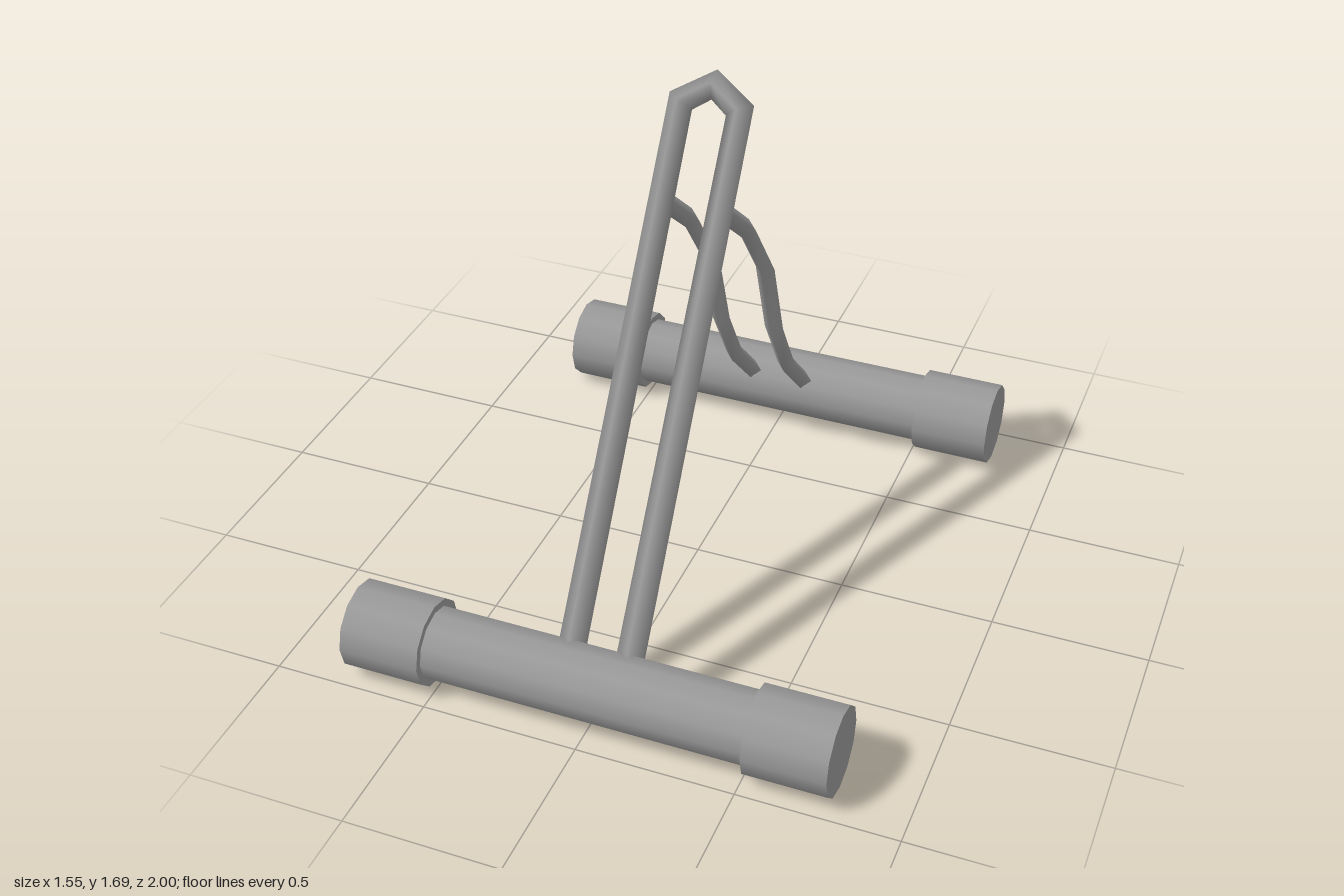
import * as THREE from 'three';

const GREY = 0x999999;
const solid = new THREE.MeshStandardMaterial({ color: GREY });
const openTube = new THREE.MeshStandardMaterial({ color: GREY, side: THREE.DoubleSide });

// Path of straight runs, sampled only at its corners, where the tangent halves the bend
class CornerPath extends THREE.Curve {
  constructor(points) {
    super();
    this.points = points;
  }

  getPointAt(u, target = new THREE.Vector3()) {
    return target.copy(this.points[Math.round(u * (this.points.length - 1))]);
  }

  getTangentAt(u, target = new THREE.Vector3()) {
    const last = this.points.length - 1, i = Math.round(u * last);
    const run = (k) => this.points[k + 1].clone().sub(this.points[k]).normalize();
    return target.copy(run(Math.max(i - 1, 0))).add(run(Math.min(i, last - 1))).normalize();
  }
}

function addMesh(parent, name, geometry, material) {
  const mesh = new THREE.Mesh(geometry, material);
  mesh.name = name;
  parent.add(mesh);
  return mesh;
}

// Four-sided tube with smooth normals, bent at each point
function addTube(parent, name, points, radius) {
  const geometry = new THREE.TubeGeometry(new CornerPath(points), points.length - 1, radius, 4);
  addMesh(parent, name, geometry, openTube);
}

// Cross bar lying along x with a thicker sleeve at each end
function makeFoot(name, z) {
  const foot = new THREE.Group();
  foot.name = name;
  foot.position.set(0, 0.1385, z);
  const rod = (length, radius) => new THREE.CylinderGeometry(radius, radius, length, 12).rotateZ(Math.PI / 2);
  addMesh(foot, 'crossBar', rod(1.1, 0.115), solid);
  for (const s of [1, -1]) {
    addMesh(foot, s > 0 ? 'leftEndCap' : 'rightEndCap', rod(0.26, 0.1385), solid).position.x = s * 0.644;
  }
  return foot;
}

export function createModel() {
  const model = new THREE.Group();
  model.name = 'stand';
  model.add(makeFoot('frontFoot', 0.8615), makeFoot('rearFoot', -0.8615));

  // Leaning hoop: two posts joined by a pointed top
  const lean = (x, y) => new THREE.Vector3(x, y, 0.838 - 0.644 * (y - 0.14));
  const hoop = [[0.093, 0.14], [0.093, 1.595], [0, 1.648], [-0.093, 1.595], [-0.093, 0.14]];
  addTube(model, 'leaningHoop', hoop.map(([x, y]) => lean(x, y)), 0.045);

  // Pair of curved rear struts, given as z, y
  const bend = [[0.04, 1.33], [-0.165, 1.16], [-0.35, 0.915], [-0.45, 0.63], [-0.59, 0.4], [-0.83, 0.16]];
  for (const s of [1, -1]) {
    const path = bend.map(([z, y]) => new THREE.Vector3(s * 0.094, y, z));
    addTube(model, s > 0 ? 'leftStrut' : 'rightStrut', path, 0.032);
  }
  return model;
}
